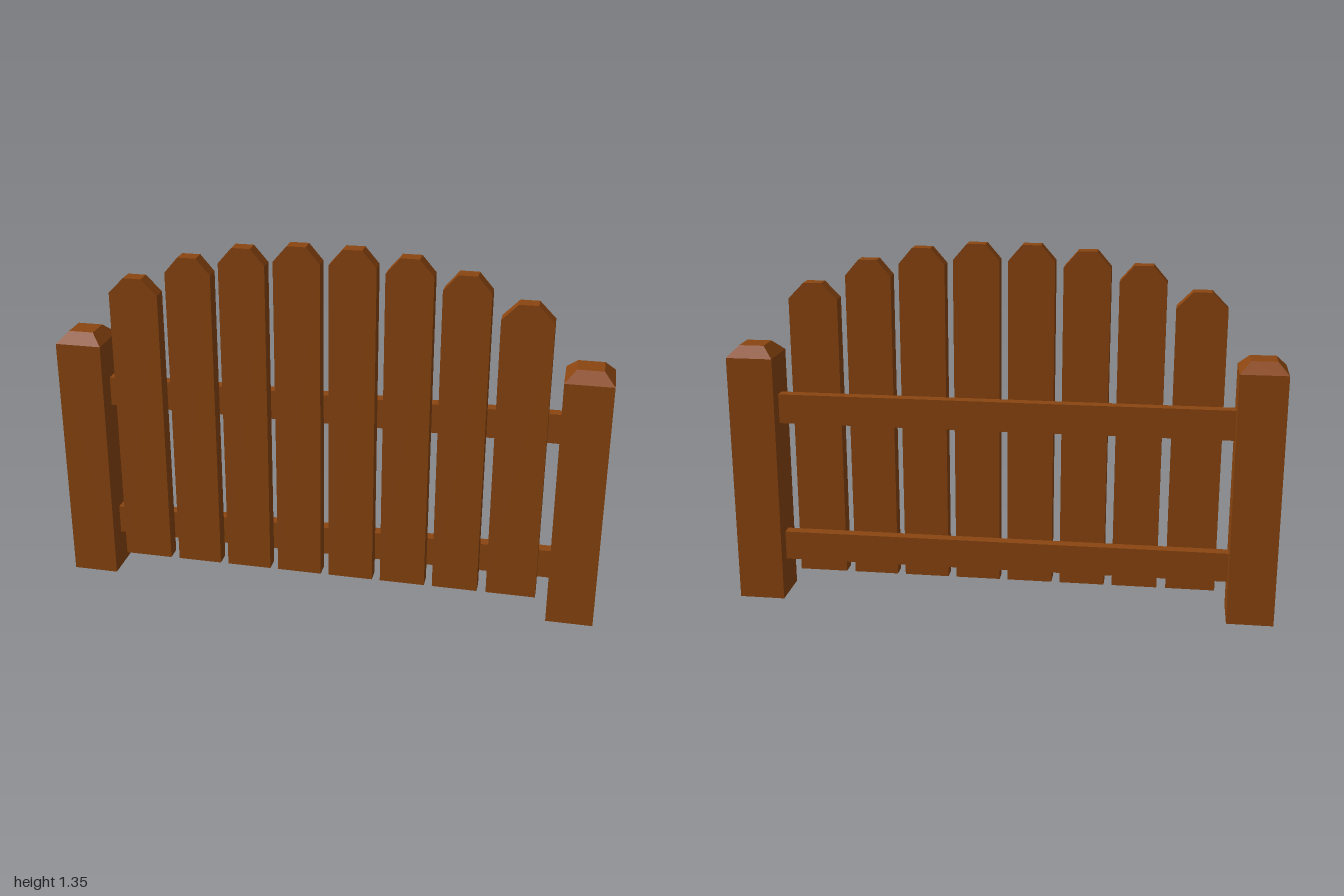
import * as THREE from 'three';

const wood = new THREE.MeshStandardMaterial({ color: 0x8b4510 });
wood.name = 'brown wood';
wood.flatShading = true;
wood.side = THREE.DoubleSide;

const BOTTOM = 0.085, BACK = 0.014, THICK = 0.057;

// Square post with a bevelled top, hollow underneath
function makePost() {
  const r = Math.SQRT2;
  const profile = [[0.085, 0], [0.085, 0.935], [0.046, 0.975], [0, 0.975]]
    .map(([half, y]) => new THREE.Vector2(half * r, y));
  return new THREE.Mesh(new THREE.LatheGeometry(profile, 4, Math.PI / 4), wood);
}

// Upright board with clipped top corners
function makePicket(width, top) {
  const w = width / 2, tip = 0.033, shoulder = top - 0.058;
  const shape = new THREE.Shape([
    [-w, BOTTOM], [w, BOTTOM], [w, shoulder], [tip, top], [-tip, top], [-w, shoulder],
  ].map(([x, y]) => new THREE.Vector2(x, y)));
  const geo = new THREE.ExtrudeGeometry(shape, { depth: THICK, bevelEnabled: false });
  return new THREE.Mesh(geo, wood);
}

export function createModel() {
  const fence = new THREE.Group();
  fence.name = 'picketFence';

  // Pickets from the centre outwards: x centre, width, top height
  const pickets = [
    [0.098, 0.166, 1.35], [0.294, 0.166, 1.332], [0.49, 0.166, 1.286], [0.696, 0.18, 1.198],
  ];

  for (const [side, label] of [[1, 'left'], [-1, 'right']]) {
    const post = makePost();
    post.name = label + 'Post';
    post.position.x = side * 0.915;
    fence.add(post);

    pickets.forEach(([x, width, top], i) => {
      const picket = makePicket(width, top);
      picket.name = label + 'Picket' + (i + 1);
      picket.position.set(side * x, 0, BACK);
      fence.add(picket);
    });
  }

  // Cross rails behind the pickets
  for (const [name, y] of [['lowerRail', 0.196], ['upperRail', 0.735]]) {
    const rail = new THREE.Mesh(new THREE.BoxGeometry(1.67, 0.11, 0.042), wood);
    rail.name = name;
    rail.position.set(0, y, -0.008);
    fence.add(rail);
  }
  return fence;
}
